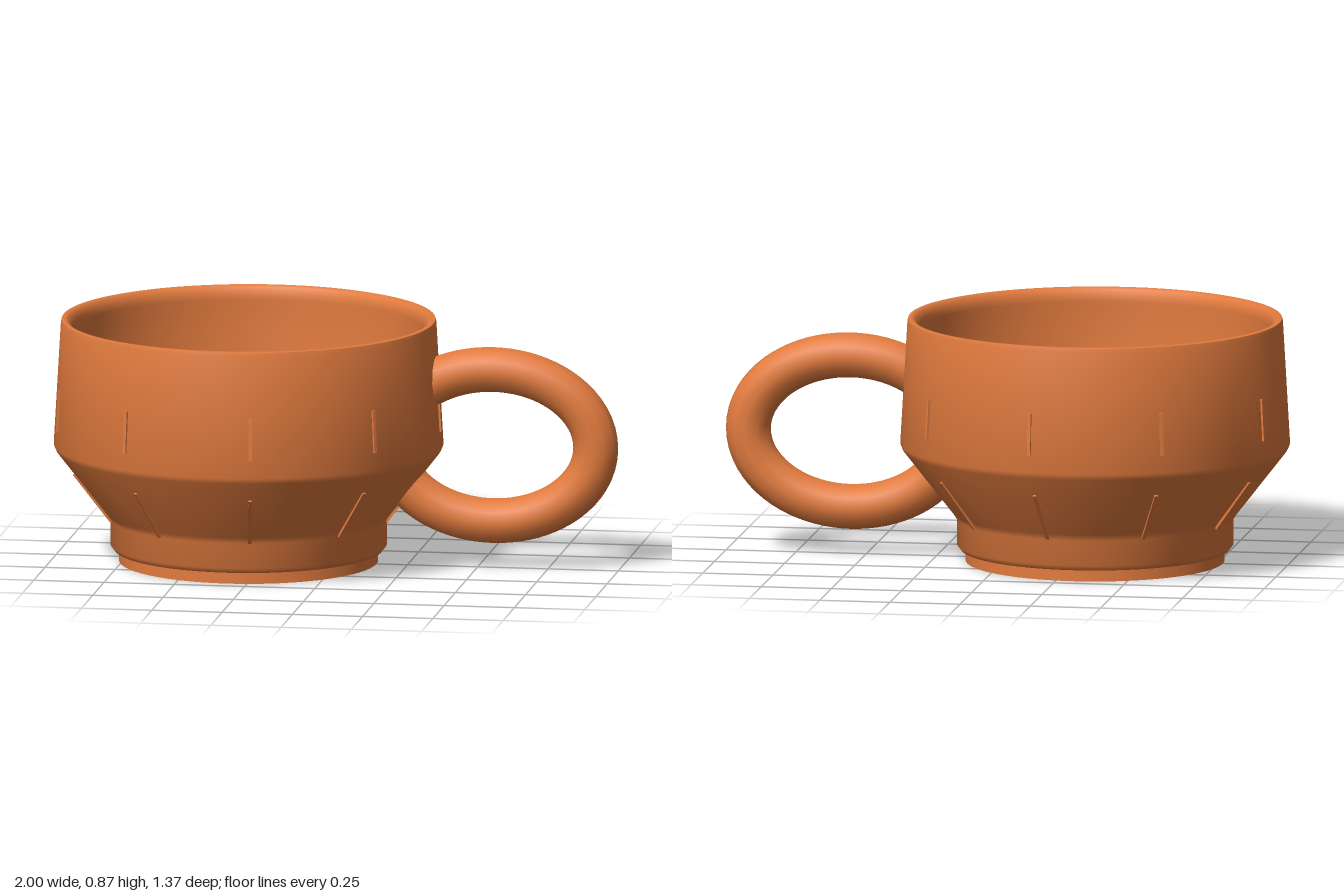
import * as THREE from 'three';
import { toCreasedNormals } from 'three/addons/utils/BufferGeometryUtils.js';

const CUP_X = -0.315;

export function createModel() {
  const model = new THREE.Group();
  model.name = 'mug';
  const clay = new THREE.MeshStandardMaterial({ color: 0xe27b3e });

  const cup = new THREE.Group();
  cup.name = 'cup';
  cup.position.x = CUP_X;
  model.add(cup);

  // Inner bowl: a smooth curve from the lip down to the middle of the floor
  const bowl = new THREE.SplineCurve([
    [0.622, 0.835], [0.622, 0.7], [0.61, 0.52], [0.565, 0.36],
    [0.46, 0.22], [0.27, 0.125], [0, 0.09],
  ].map(([r, y]) => new THREE.Vector2(r, y))).getPoints(28);
  bowl[bowl.length - 1].x = 0;

  // One closed profile: recessed base, foot ring, outer wall, lip, bowl
  const outside = [
    [0, 0.04], [0.405, 0.04], [0.41, 0], [0.455, 0], [0.455, 0.04],
    [0.472, 0.042], [0.486, 0.06], [0.486, 0.15], [0.5, 0.172],
    [0.676, 0.398], [0.685, 0.418], [0.66, 0.85], [0.657, 0.863],
    [0.645, 0.866], [0.632, 0.858],
  ].map(([r, y]) => new THREE.Vector2(r, y));
  const body = new THREE.Mesh(
    toCreasedNormals(new THREE.LatheGeometry([...outside, ...bowl], 96), 0.8), clay);
  body.name = 'body';
  cup.add(body);

  // Two rows of thin raised ribs lying along the wall
  const rows = [
    { name: 'upperRib', low: [0.681, 0.48], high: [0.673, 0.63] },
    { name: 'lowerRib', low: [0.489, 0.155], high: [0.622, 0.33] },
  ];
  for (const { name, low, high } of rows) {
    const dr = high[0] - low[0], dy = high[1] - low[1];
    for (let i = 0; i < 9; i++) {
      const spoke = new THREE.Group();
      spoke.name = name;
      spoke.rotation.y = THREE.MathUtils.degToRad(9.5 + 40 * i);
      const rib = new THREE.Mesh(
        new THREE.BoxGeometry(0.012, Math.hypot(dr, dy), 0.014), clay);
      rib.name = name + 'Bar';
      rib.position.set(0, (low[1] + high[1]) / 2, (low[0] + high[0]) / 2);
      rib.rotation.x = Math.atan2(dr, dy);
      spoke.add(rib);
      cup.add(spoke);
    }
  }

  // Handle: a full oval ring that passes through the wall
  const path = [];
  for (let i = 0; i < 32; i++) {
    const a = (i / 32) * Math.PI * 2;
    path.push(new THREE.Vector3(0.365 * Math.cos(a), 0.27 * Math.sin(a), 0));
  }
  const handle = new THREE.Mesh(
    new THREE.TubeGeometry(new THREE.CatmullRomCurve3(path, true), 72, 0.08, 12, true), clay);
  handle.name = 'handle';
  handle.position.set(0.555, 0.437, 0);
  model.add(handle);

  return model;
}
